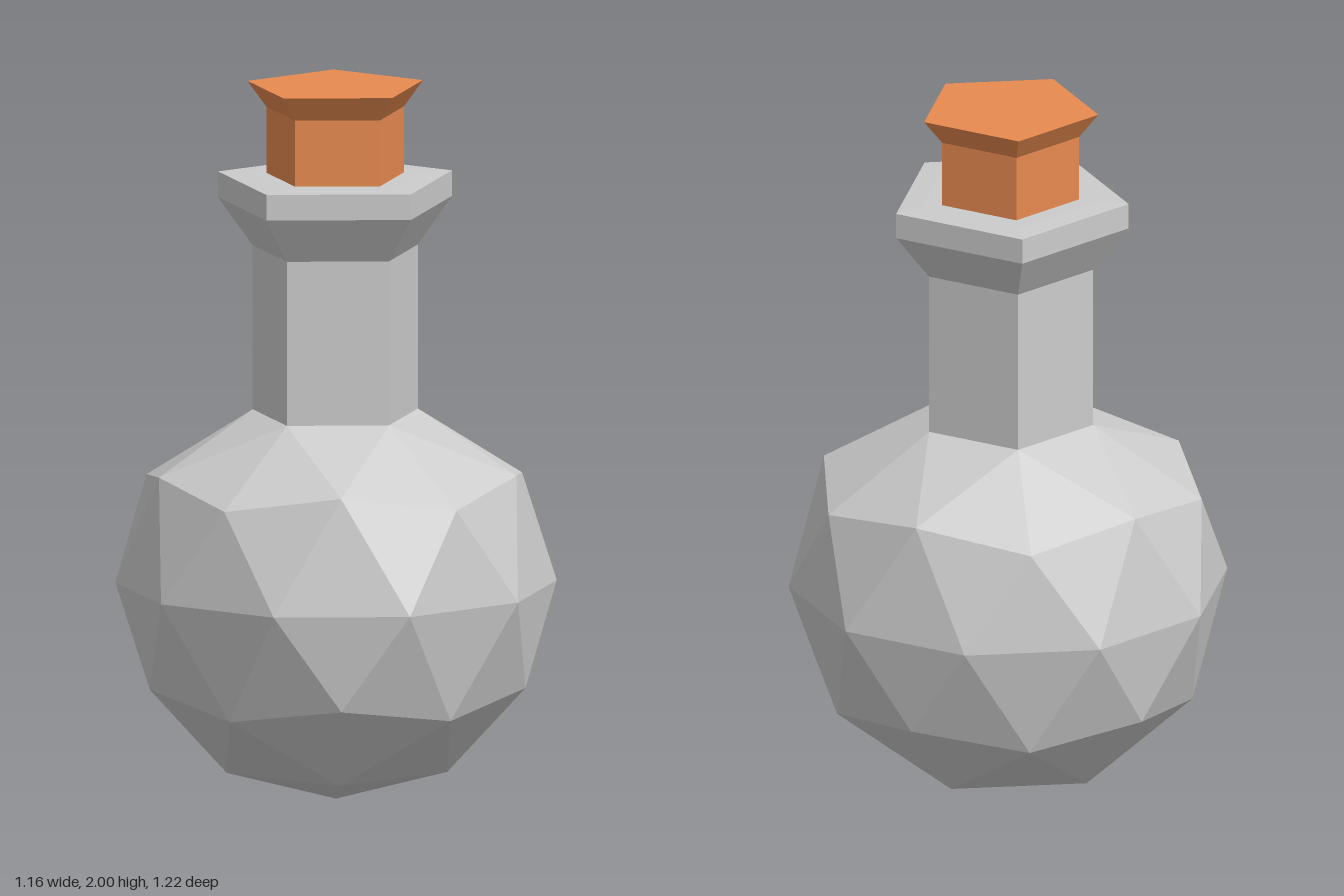
import * as THREE from 'three';

const R = 0.61; // bulb radius
const NECK_R = 0.24, NECK_Y = 1.08;

const glass = new THREE.MeshStandardMaterial({ color: 0xcccccc, flatShading: true });
const corkMaterial = new THREE.MeshStandardMaterial({ color: 0xe88a50, flatShading: true });

// Five-sided turned part with one corner pointing to +x
function pentagonLathe(name, profile, material) {
  const points = profile.map(([r, y]) => new THREE.Vector2(r, y));
  const mesh = new THREE.Mesh(new THREE.LatheGeometry(points, 5, Math.PI / 2), material);
  mesh.name = name;
  return mesh;
}

// Faceted ball standing on a corner, its top ring pulled in to meet the neck
function createBulb() {
  const geometry = new THREE.IcosahedronGeometry(R, 1);
  geometry.rotateZ(-Math.atan(2 / (1 + Math.sqrt(5))));
  geometry.translate(0, R, 0);
  const p = geometry.attributes.position;
  for (let i = 0; i < p.count; i++) {
    if (p.getY(i) < 1.05) continue;
    const x = p.getX(i), z = p.getZ(i), r = Math.hypot(x, z);
    const s = r > 0.1 ? NECK_R / r : 0;
    p.setXYZ(i, x * s, NECK_Y, z * s);
  }
  geometry.computeVertexNormals();
  const mesh = new THREE.Mesh(geometry, glass);
  mesh.name = 'bulb';
  return mesh;
}

export function createModel() {
  const group = new THREE.Group();
  group.name = 'flask';
  group.add(createBulb());

  // Straight neck, flared collar and closed rim
  group.add(pentagonLathe('neck', [
    [NECK_R, NECK_Y], [NECK_R, 1.54], [0.34, 1.67], [0.34, 1.742], [0.26, 1.745], [0, 1.745],
  ], glass));

  // Stopper widening at the top
  group.add(pentagonLathe('cork', [
    [0.2, 1.74], [0.2, 1.93], [0.255, 2], [0, 2],
  ], corkMaterial));

  return group;
}
